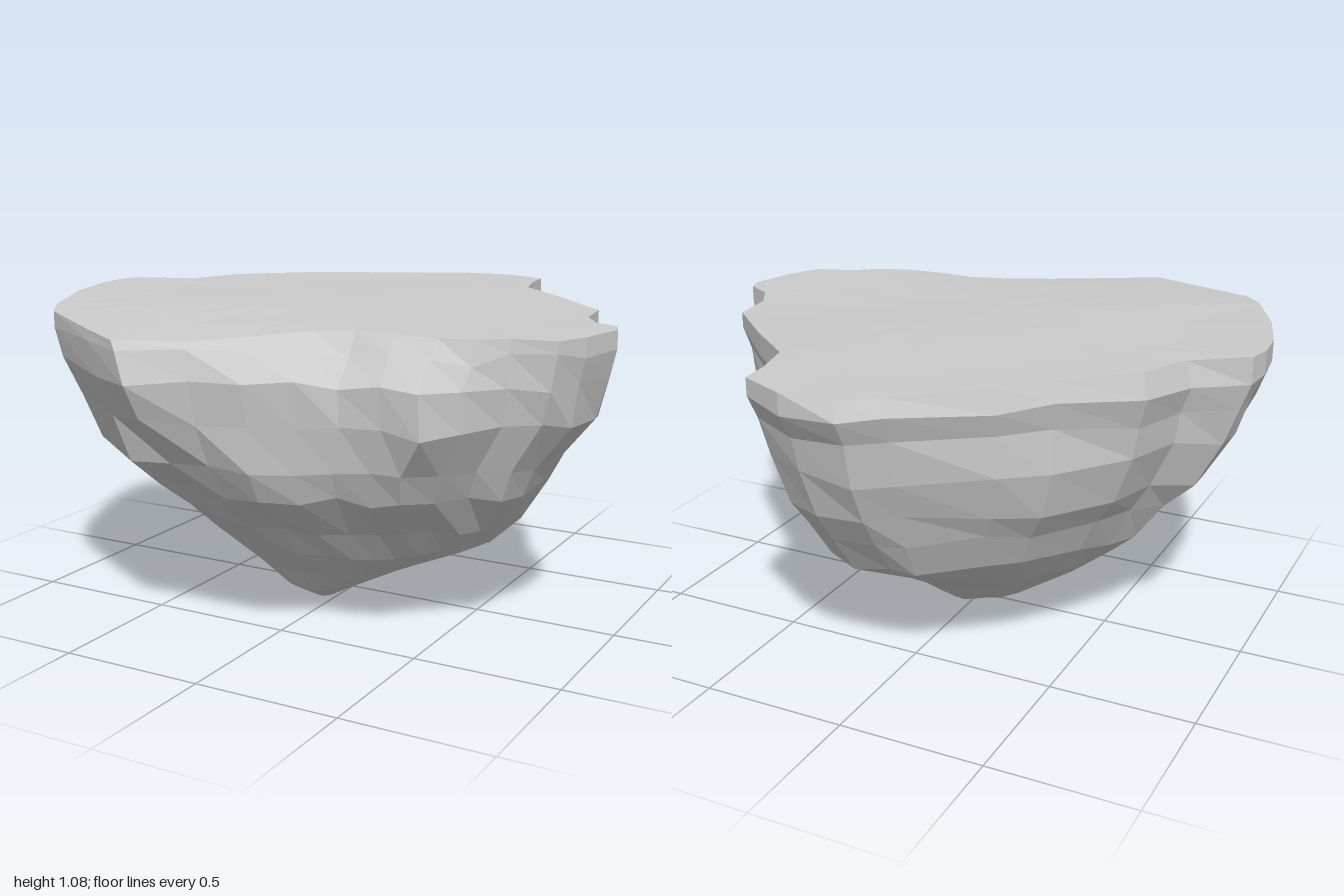
import * as THREE from 'three';

// Plan outline below the rim (x, z), running back -> left (+x) -> front -> right (-x)
const OUTLINE = [
  [0, -0.96], [0.2, -0.95], [0.36, -0.88], [0.37, -0.77], [0.41, -0.62], [0.6, -0.46], [0.81, -0.26],
  [0.83, -0.1], [0.89, 0], [0.98, 0.05], [1, 0.11], [0.96, 0.28], [0.91, 0.39], [0.77, 0.43],
  [0.69, 0.49], [0.58, 0.53], [0.44, 0.54], [0.3, 0.53], [0.18, 0.58], [0.03, 0.7],
  [-0.13, 0.83], [-0.33, 0.93], [-0.5, 0.84], [-0.75, 0.7], [-0.82, 0.6], [-0.93, 0.35],
  [-0.99, 0.15], [-1, 0.03], [-0.98, -0.05], [-0.82, -0.17], [-0.74, -0.35], [-0.52, -0.55],
  [-0.38, -0.67], [-0.12, -0.88],
];

// The front cliff swells out below the rim: replacement points by outline index
const SWELL = {
  13: [0.78, 0.44], 14: [0.68, 0.55], 15: [0.58, 0.65], 16: [0.46, 0.66], 17: [0.32, 0.67],
  18: [0.2, 0.73], 19: [0.06, 0.81], 20: [-0.1, 0.87], 21: [-0.28, 0.96], 22: [-0.48, 0.86],
};

// Levels of the rock: height, reach to +x, -x, +z, -z, and how far the outline is rounded off
const LEVELS = [
  [0.9, 0.985, 0.96, 1, 0.95, 0],
  [0.77, 0.95, 0.92, 0.95, 0.91, 0.1],
  [0.62, 0.84, 0.83, 0.91, 0.86, 0.2],
  [0.52, 0.79, 0.73, 0.83, 0.79, 0.3],
  [0.38, 0.69, 0.63, 0.63, 0.7, 0.45],
  [0.27, 0.58, 0.52, 0.51, 0.49, 0.6],
  [0.17, 0.33, 0.38, 0.4, 0.32, 0.8],
  [0.08, 0.15, 0.23, 0.32, 0.21, 0.9],
  [0.035, 0.05, 0.07, 0.24, 0.14, 0.9],
];

// Small knobs on the cliffs: x, y, z of the centre and height of the knob
const KNOBS = [[0.55, 0.74, 0.6, 0.05], [-0.43, 0.74, -0.58, 0.07]];

const { smoothstep } = THREE.MathUtils;

const hash = (a, b) => {
  const s = Math.sin(a * 127.1 + b * 311.7) * 43758.5453;
  return (s - Math.floor(s)) * 2 - 1;
};

// Skins consecutive loops, listed from the top downwards
function loft(loops) {
  const pos = [];
  const tri = (a, b, c) => {
    if (a.equals(b) || b.equals(c) || a.equals(c)) return;
    for (const p of [a, b, c]) pos.push(p.x, p.y, p.z);
  };
  for (let k = 0; k < loops.length - 1; k++) {
    const up = loops[k], low = loops[k + 1], n = up.length;
    for (let i = 0; i < n; i++) {
      const j = (i + 1) % n;
      tri(up[i], up[j], low[i]);
      tri(up[j], low[j], low[i]);
    }
  }
  const g = new THREE.BufferGeometry();
  g.setAttribute('position', new THREE.Float32BufferAttribute(pos, 3));
  g.computeVertexNormals();
  return g;
}

export function createModel() {
  const group = new THREE.Group();
  group.name = 'floatingRock';
  const mat = new THREE.MeshStandardMaterial({ color: 0xcccccc, flatShading: true });
  const add = (name, loops) => {
    const mesh = new THREE.Mesh(loft(loops), mat);
    mesh.name = name;
    group.add(mesh);
  };

  // Gently uneven ground, falling towards the left and the front edge
  const ground = (x, z) => new THREE.Vector3(x,
    1.062 - 0.015 * x - 0.035 * smoothstep(z, 0.4, 0.95) + 0.006 * Math.sin(5 * x + 2) * Math.cos(4 * z), z);

  // Rim, set in a little along the back right where the edge is bevelled
  const rim = OUTLINE.map(([x, z]) => {
    const s = x < 0.01 && z < -0.1 ? 0.97 : 1;
    return ground(x * s, z * s);
  });
  const ring = (s) => rim.map((p) => ground(p.x * s, p.z * s));
  add('topGround', [ring(0), ring(0.35), ring(0.7), rim]);

  // Edge band under the rim
  const edge = OUTLINE.map(([x, z], i) => {
    const q = SWELL[i] || [x, z];
    return new THREE.Vector3((x * 0.6 + q[0] * 0.4), 0.99 + 0.02 * hash(i, 3), (z * 0.6 + q[1] * 0.4));
  });

  // Rugged body, shrinking level by level to a low point
  const body = LEVELS.map(([y, px, nx, pz, nz, round], k) => OUTLINE.map((p, i) => {
    let [x, z] = SWELL[i] || p;
    const r = Math.hypot(x, z);
    const f = (r + (0.95 - r) * round) / r;
    x *= f * (x > 0 ? px : nx);
    z *= f * (z > 0 ? pz : nz);
    // gully cut into the front, above a ledge
    if (z > 0 && y > 0.45 && y < 0.65) z -= 0.08 * Math.exp(-(((x + 0.2) / 0.12) ** 2));
    let grow = 1 + 0.012 * Math.min(1, y * 3) * hash(i, k + 5);
    for (const [kx, ky, kz, h] of KNOBS) {
      grow += h * Math.exp(-((x - kx) ** 2 + (y - ky) ** 2 + (z - kz) ** 2) / 0.015);
    }
    return new THREE.Vector3(x * grow, y + 0.018 * Math.min(1, y * 2.5) * hash(i, k + 20), z * grow);
  }));
  const tip = new THREE.Vector3(0, 0, 0);
  add('rockBody', [rim, edge, ...body, rim.map(() => tip)]);

  return group;
}
